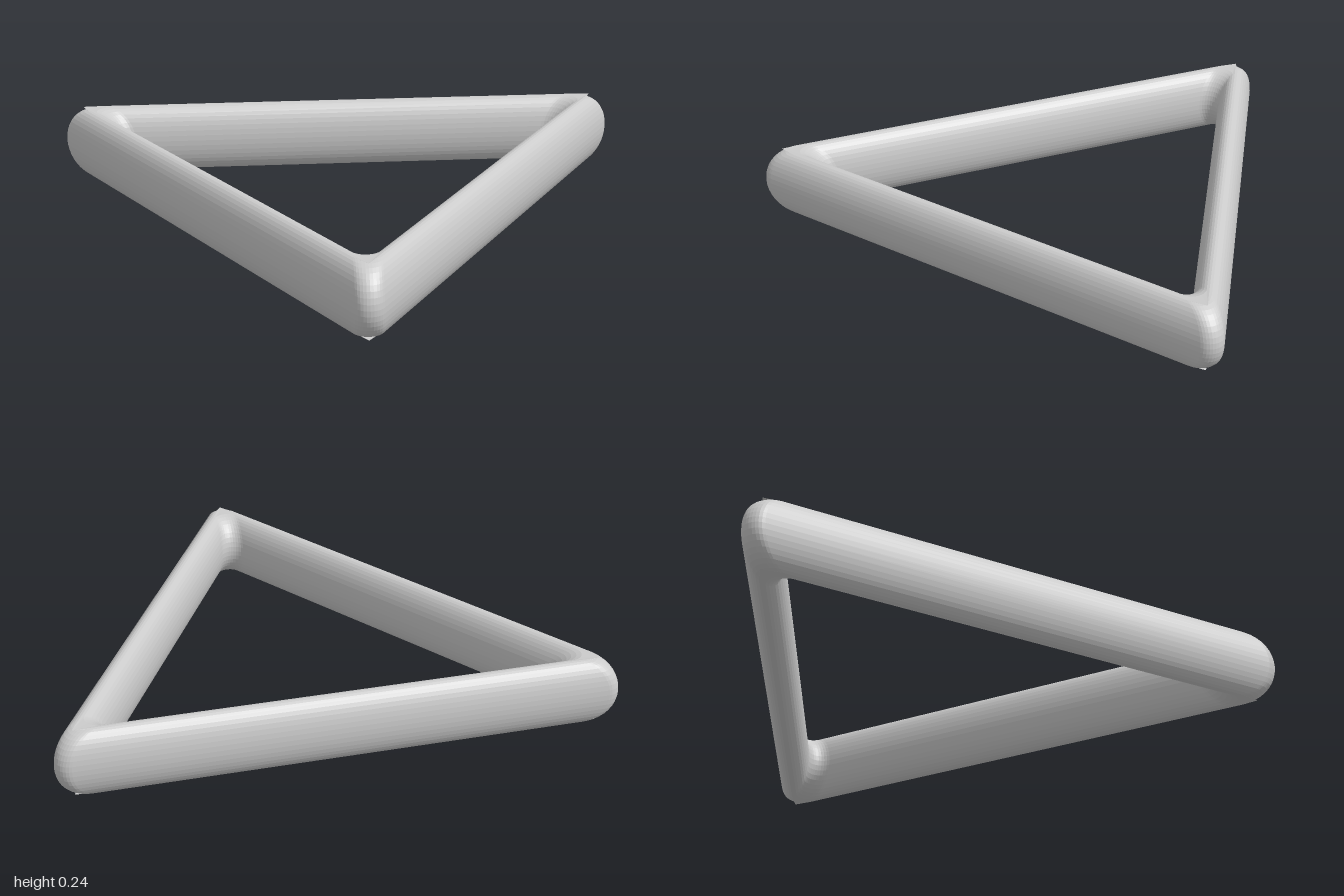
import * as THREE from 'three';

const APOTHEM = 0.539;      // centre of the triangle to the middle of a bar
const HALF_WIDTH = 0.059;   // bar cross-section, horizontal
const HALF_HEIGHT = 0.1222; // bar cross-section, vertical
const CORNER = 0.05;        // corner rounding
const CENTRE_X = -0.274;
const ROWS = 40;            // steps around the bar's oval section
const ARC = 10;             // steps around each corner

// Triangle outline with rounded corners, one tip on +x
function triangleLoop(apothem, radius, y) {
  const points = [];
  for (let corner = 0; corner < 3; corner++) {
    const heading = corner * Math.PI * 2 / 3;
    const reach = 2 * (apothem - radius);
    for (let s = 0; s <= ARC; s++) {
      const a = heading + (s / ARC - 0.5) * Math.PI * 2 / 3;
      points.push(
        CENTRE_X + reach * Math.cos(heading) + radius * Math.cos(a),
        y,
        reach * Math.sin(heading) + radius * Math.sin(a)
      );
    }
  }
  return points;
}

// Stack the outlines around the oval section and join them into a closed ring
function triangleRing() {
  const positions = [], index = [];
  const cols = 3 * (ARC + 1);
  for (let i = 0; i < ROWS; i++) {
    const t = i / ROWS * Math.PI * 2;
    // the top and bottom ridges run out to sharp corners
    const ridge = i % (ROWS / 2) === ROWS / 4;
    positions.push(...triangleLoop(
      APOTHEM + HALF_WIDTH * Math.cos(t),
      ridge ? 0.0005 : CORNER,
      HALF_HEIGHT * (1 + Math.sin(t))
    ));
    for (let j = 0; j < cols; j++) {
      const next = (j + 1) % cols, up = (i + 1) % ROWS;
      const a = i * cols + j, b = up * cols + j;
      const c = up * cols + next, d = i * cols + next;
      index.push(a, b, d, b, c, d);
    }
  }
  const geometry = new THREE.BufferGeometry();
  geometry.setAttribute('position', new THREE.Float32BufferAttribute(positions, 3));
  geometry.setIndex(index);
  geometry.computeVertexNormals();
  return geometry;
}

export function createModel() {
  const group = new THREE.Group();
  group.name = 'triangle';
  const material = new THREE.MeshStandardMaterial({ color: 0xcccccc, flatShading: true });
  const ring = new THREE.Mesh(triangleRing(), material);
  ring.name = 'triangleRing';
  group.add(ring);
  return group;
}
